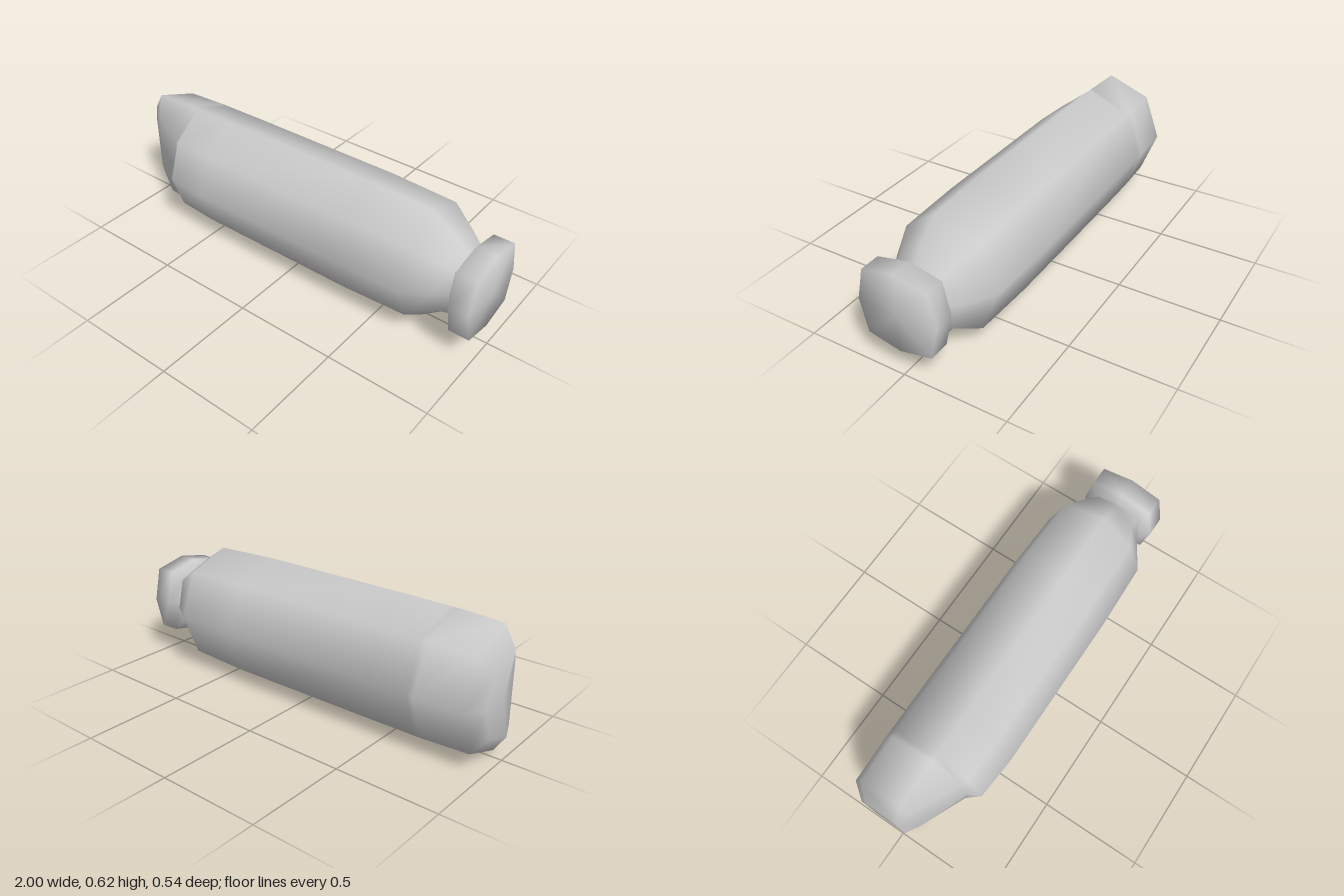
import * as THREE from 'three';

const MID = 0.31; // height of the long axis

// Eight-sided outlines as [z, y - MID], running from +z up over the top
const BODY = [[0.272, 0], [0.2, 0.188], [0.037, 0.308], [-0.187, 0.225],
  [-0.272, 0], [-0.187, -0.225], [0.037, -0.308], [0.2, -0.188]];
const CAP = [[0.21, 0], [0.175, 0.16], [0.015, 0.194], [-0.145, 0.16],
  [-0.18, 0], [-0.145, -0.16], [0.015, -0.194], [0.175, -0.16]];

const ring = (x, outline, s, cz = 0) =>
  outline.map(([z, y]) => [x, MID + y * s, cz + (z - cz) * s]);

// Pull the three front corners of a ring back to form the slanted facet
function cut(points, zMid, zSide, ySide) {
  const [x] = points[0];
  points[0] = [x, MID, zMid];
  points[1] = [x, MID + ySide, zSide];
  points[7] = [x, MID - ySide, zSide];
  return points;
}

// Smooth skin over consecutive rings, with optional end caps at given x
function loft(name, rings, startX, endX) {
  const n = 8, pos = rings.flat(2), idx = [];
  for (let s = 0; s < rings.length - 1; s++) {
    for (let j = 0; j < n; j++) {
      const k = (j + 1) % n;
      const a = s * n + j, b = s * n + k, c = a + n, d = b + n;
      idx.push(a, c, d, a, d, b);
    }
  }
  const close = (points, base, x, flip) => {
    const c = pos.length / 3;
    const z = points.reduce((t, p) => t + p[2], 0) / n;
    pos.push(x, MID, z);
    for (let j = 0; j < n; j++) {
      const k = (j + 1) % n;
      if (flip) idx.push(c, base + k, base + j);
      else idx.push(c, base + j, base + k);
    }
  };
  if (startX !== undefined) close(rings[0], 0, startX, false);
  if (endX !== undefined) close(rings[rings.length - 1], (rings.length - 1) * n, endX, true);
  const geo = new THREE.BufferGeometry();
  geo.setAttribute('position', new THREE.Float32BufferAttribute(pos, 3));
  geo.setIndex(idx);
  geo.computeVertexNormals();
  const mesh = new THREE.Mesh(geo, new THREE.MeshStandardMaterial({
    color: 0xcccccc, side: THREE.DoubleSide }));
  mesh.name = name;
  return mesh;
}

export function createModel() {
  const group = new THREE.Group();
  group.name = 'bottle';

  // Body: chamfered base with a slanted front facet, then shoulder and neck
  group.add(loft('body', [
    cut(ring(-1, BODY, 0.67), 0.035, 0.035, 0.15),
    cut(ring(-0.94, BODY, 0.965), 0.065, 0.065, 0.19),
    cut(ring(-0.71, BODY, 0.995), 0.19, 0.175, 0.16),
    cut(ring(-0.68, BODY, 0.995), 0.255, 0.19, 0.182),
    ring(-0.47, BODY, 1),
    ring(0.35, BODY, 1),
    ring(0.68, BODY, 0.96),
    ring(0.8, BODY, 0.68),
    ring(0.865, CAP, 0.7, 0.015),
  ], -1));

  // Cap: flares out from the neck to a short collar
  group.add(loft('cap', [
    ring(0.865, CAP, 0.7, 0.015),
    ring(0.89, CAP, 1),
    ring(0.99, CAP, 1),
  ], undefined, 1));

  return group;
}
